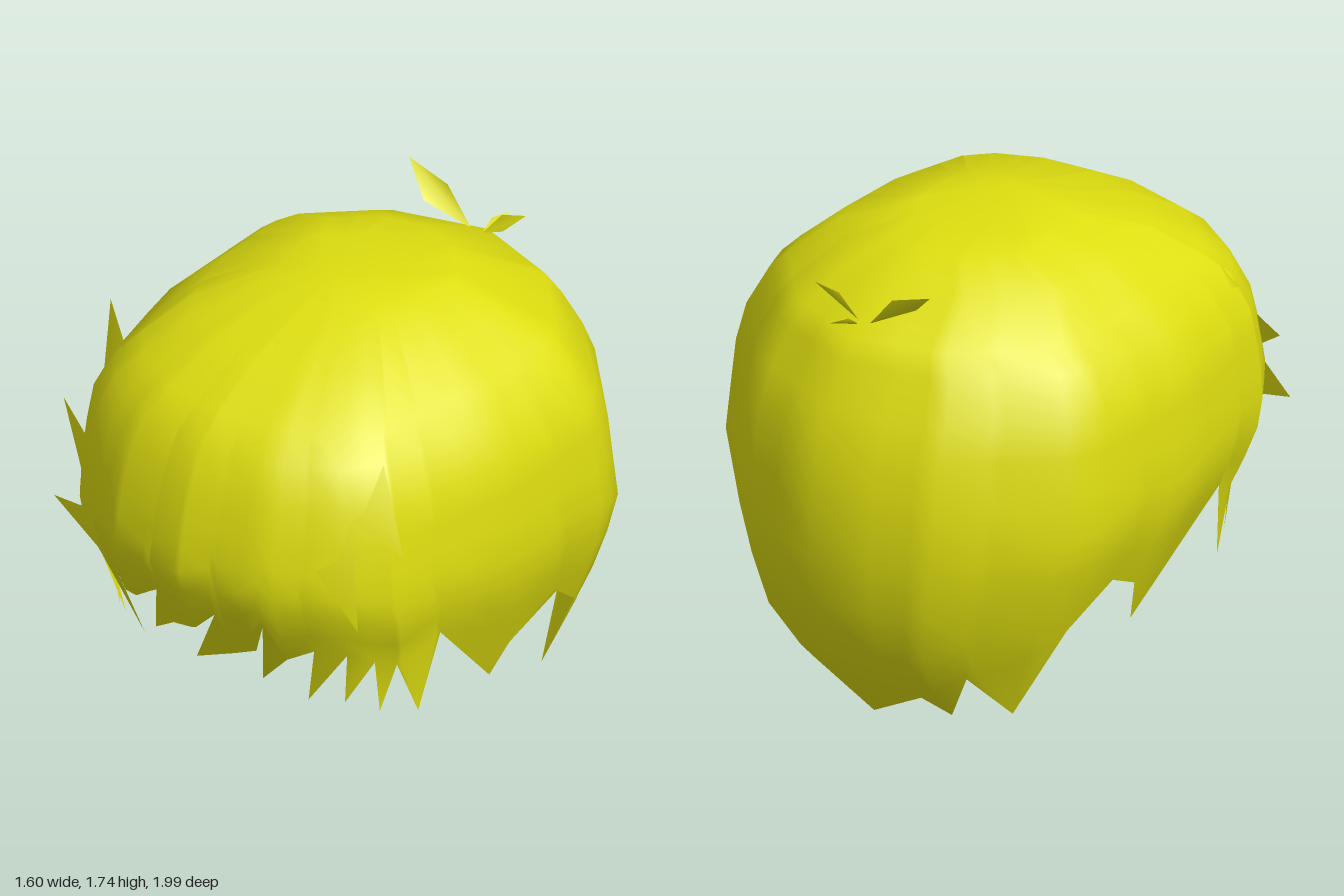
import * as THREE from 'three';

// horizontal sections: height, half width, front z, back z
const SECTIONS = [
  [1.745, 0, 0.12, 0.12], [1.71, 0.24, 0.25, -0.22], [1.69, 0.31, 0.31, -0.4],
  [1.62, 0.49, 0.55, -0.54], [1.5, 0.62, 0.76, -0.76], [1.42, 0.7, 0.86, -0.81],
  [1.28, 0.77, 0.925, -0.885], [1.15, 0.785, 0.965, -0.95], [0.96, 0.8, 1, -0.98],
  [0.82, 0.8, 0.96, -1], [0.68, 0.76, 0.89, -0.98], [0.4, 0.65, 0.75, -0.93], [0, 0.47, 0.35, -0.64],
];
// half outline of a unit section from front to back; the position u counts its corners
const OUTLINE = [
  [0, 1], [0.4, 0.945], [0.71, 0.8], [0.86, 0.64], [0.95, 0.32],
  [1, 0.12], [1, -0.38], [0.93, -0.53], [0.54, -0.86], [0, -1],
];
const LAST = OUTLINE.length - 1;
const FIXED_ROWS = 8, HEM_ROWS = 5;
const lerp = THREE.MathUtils.lerp;

function section(y) {
  let i = 0;
  while (i < SECTIONS.length - 2 && y < SECTIONS[i + 1][0]) i++;
  const a = SECTIONS[i], b = SECTIONS[i + 1], t = (a[0] - y) / (a[0] - b[0]);
  const [w, f, k] = [1, 2, 3].map((n) => lerp(a[n], b[n], t));
  return { w, zc: (f + k) / 2, depth: (f - k) / 2 };
}
// point on the head surface; u = 0 is the front, positive u lies on the +x side
function surface(u, y) {
  const s = section(y), v = u > LAST ? u - 2 * LAST : u;
  const i = Math.min(LAST - 1, Math.floor(Math.abs(v))), t = Math.abs(v) - i;
  const [x, z] = [0, 1].map((n) => lerp(OUTLINE[i][n], OUTLINE[i + 1][n], t));
  return [Math.sign(v) * x * s.w, y, s.zc + z * s.depth];
}
// outline position where a coordinate (0: x, 1: z) takes the given value
function locate(axis, value, from, to) {
  for (let i = from; i < to; i++) {
    const a = OUTLINE[i][axis], b = OUTLINE[i + 1][axis];
    if (a !== b && (value - a) * (value - b) <= 0) return i + (value - a) / (b - a);
  }
  return to;
}
const frontU = (x, y) => Math.sign(x) * locate(0, Math.abs(x) / section(y).w, 0, 5);
const sideU = (z, y) => locate(1, (z - section(y).zc) / section(y).depth, 0, LAST);

// hem points: a notch belongs to the shell edge, a tip hangs below it
const front = (x, y) => ({ u: frontU(x, y), y });
const frontTip = (x, y) => ({ tip: surface(frontU(x, y), y) });
const side = (z, y) => ({ u: sideU(z, y), y });
const back = (x, y) => ({ u: locate(0, x / section(y).w, 6, LAST), y });
const tip = (x, y, z) => ({ tip: [x, y, z] });
const mirror = (p) => (p.tip ? tip(-p.tip[0], p.tip[1], p.tip[2]) : { u: -p.u, y: p.y });

function hemPoints() {
  const fringe = [
    front(-0.37, 0.77), frontTip(-0.45, 0.57), front(-0.28, 0.69), front(-0.12, 0.82),
    frontTip(-0.25, 0.54), front(-0.11, 0.65), front(0.02, 0.7), front(0.13, 0.81),
    frontTip(-0.06, 0.5), front(0.145, 0.61), front(0.24, 0.66), front(0.32, 0.82),
    frontTip(0.21, 0.5), front(0.34, 0.64), front(0.44, 0.7),
  ];
  const flank = [
    tip(0.36, 0.44, 0.7), side(0.71, 0.69), tip(0.48, 0.45, 0.65), side(0.61, 0.63),
    tip(0.57, 0.41, 0.57), side(0.535, 0.6), tip(0.64, 0.38, 0.445), side(0.39, 0.69),
    tip(0.61, 0.3, 0.01), side(-0.06, 0.49), side(-0.22, 0.575), side(-0.4, 0.43),
    tip(0.47, 0.07, -0.46), side(-0.63, 0.25), tip(0.265, 0.03, -0.54), back(0.235, 0.14),
  ];
  const mirrored = flank.map(mirror).reverse();
  const first = mirrored[0];
  return [...mirrored, ...fringe, ...flank, tip(0, 0.003, -0.64), { u: first.u + 2 * LAST, y: first.y }];
}

function polygons(pos, index) {
  const g = new THREE.BufferGeometry();
  g.setAttribute('position', new THREE.Float32BufferAttribute(pos, 3));
  g.setIndex(index);
  g.computeVertexNormals();
  return g;
}

// shell of hair with a jagged hem
function hairGeometry() {
  const pos = [], index = [], columns = [];
  const add = (point) => pos.push(...point) / 3 - 1;
  const crown = add(surface(0, SECTIONS[0][0]));
  const addColumn = (u, hem) => {
    const col = [crown], y0 = SECTIONS[FIXED_ROWS - 1][0];
    for (let r = 1; r < FIXED_ROWS; r++) col.push(add(surface(u, SECTIONS[r][0])));
    for (let r = 1; r <= HEM_ROWS; r++) col.push(add(surface(u, lerp(y0, hem, r / HEM_ROWS))));
    columns.push(col);
  };
  const joinLastTwo = (tipIndex) => {
    const [L, R] = columns.slice(-2), end = L.length - 1;
    for (let r = 0; r < end; r++) {
      if (r > 0) index.push(L[r], R[r + 1], R[r]);
      index.push(L[r], L[r + 1], R[r + 1]);
    }
    if (tipIndex !== null) index.push(L[end], tipIndex, R[end]);
  };
  let last = null, tipIndex = null;
  for (const p of hemPoints()) {
    if (p.tip) {
      tipIndex = add(p.tip);
      continue;
    }
    if (last) {
      // columns between two notches follow the outline corners
      for (let u = Math.floor(last.u * 2 + 1) / 2; u < p.u - 0.05; u += 0.5) {
        if (u < last.u + 0.05) continue;
        addColumn(u, lerp(last.y, p.y, (u - last.u) / (p.u - last.u)));
        joinLastTwo(tipIndex);
      }
    }
    if (p.u > LAST) columns.push(columns[0]); // closes the loop
    else addColumn(p.u, p.y);
    if (last) joinLastTwo(tipIndex);
    last = p;
    tipIndex = null;
  }
  return polygons(pos, index);
}

// lock lying on the head, shaded as a continuation of the round shell
function lockGeometry(upper, tipPoint, lower) {
  const root = ([x, y]) => surface(frontU(x, y), y);
  const g = polygons([...root(upper), ...tipPoint, ...root(lower)], tipPoint[0] > 0 ? [0, 2, 1] : [0, 1, 2]);
  const center = new THREE.Vector3(0, 0.95, 0), v = new THREE.Vector3();
  for (let i = 0; i < 3; i++) {
    v.fromBufferAttribute(g.attributes.position, i).sub(center).normalize();
    g.attributes.normal.setXYZ(i, v.x, v.y, v.z);
  }
  return g;
}

export function createModel() {
  const group = new THREE.Group();
  const yellow = new THREE.MeshStandardMaterial({ color: 0xdede10, side: THREE.DoubleSide });
  yellow.name = 'hair yellow';
  const addMesh = (name, geometry) => {
    const mesh = new THREE.Mesh(geometry, yellow);
    mesh.name = name;
    group.add(mesh);
  };

  addMesh('hairShell', hairGeometry());

  // locks sticking out at the temples: upper root, tip, lower root
  const locks = [
    [[0.59, 1.42], [0.76, 1.16, 0.68], [0.57, 1.25]],
    [[0.57, 1.25], [0.67, 0.89, 0.82], [0.49, 1.07]],
    [[-0.56, 1.45], [-0.76, 1.48, 0.38], [-0.5, 1.25]],
    [[-0.57, 1.17], [-0.77, 1.2, 0.63], [-0.47, 0.97]],
    [[-0.47, 0.97], [-0.71, 0.89, 0.76], [-0.37, 0.77]],
  ];
  for (const lock of locks) addMesh('templeLock', lockGeometry(...lock));

  // small tuft of leaf-like strands at the back of the crown: root, side, tip, side
  const tuft = [
    [[-0.02, 1.53, -0.69], [-0.18, 1.61, -0.63], [-0.29, 1.715, -0.69], [-0.13, 1.66, -0.7]],
    [[0.03, 1.53, -0.69], [0.1, 1.62, -0.71], [0.19, 1.64, -0.73], [0.13, 1.58, -0.675]],
    [[0.02, 1.52, -0.7], [0.025, 1.56, -0.75], [0.05, 1.56, -0.82], [0.06, 1.54, -0.73]],
  ];
  for (const strand of tuft) addMesh('tuftStrand', polygons(strand.flat(), [0, 1, 2, 0, 2, 3]));

  return group;
}
